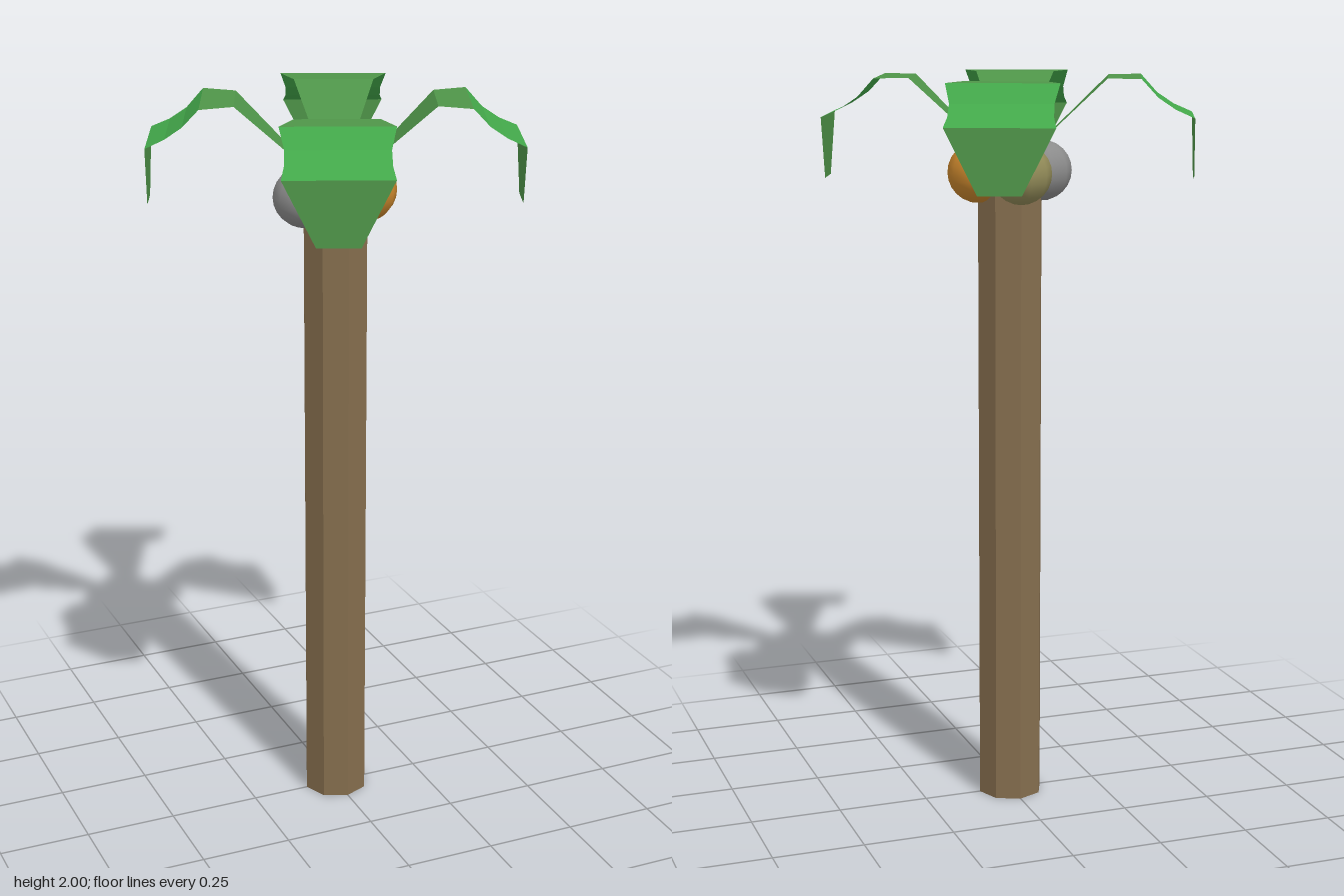
import * as THREE from 'three';

const mat = (name, color, options = {}) => {
  const m = new THREE.MeshStandardMaterial({ color, ...options });
  m.name = name;
  return m;
};

// Sheet lofted along +x through rows of [distance, half width, height]
function strip(rows) {
  const pos = [], index = [];
  rows.forEach(([r, hw, y], i) => {
    pos.push(r, y, -hw, r, y, hw);
    if (i) {
      const a = 2 * (i - 1);
      index.push(a, a + 1, a + 2, a + 1, a + 3, a + 2);
    }
  });
  const g = new THREE.BufferGeometry();
  g.setAttribute('position', new THREE.Float32BufferAttribute(pos, 3));
  g.setIndex(index);
  g.computeVertexNormals();
  return g;
}

export function createModel() {
  const model = new THREE.Group();
  model.name = 'palmTree';

  const sheet = { side: THREE.DoubleSide, flatShading: true };
  const bark = mat('bark', 0x846d4d, { flatShading: true });
  const leaf = mat('leafGreen', 0x4f9549, sheet);
  const bright = mat('brightGreen', 0x43a84a, sheet);
  const gray = mat('gray', 0x8c8c8c);
  const orange = mat('orange', 0xc8852c);
  const khaki = mat('khaki', 0x938c59);

  const add = (parent, name, geometry, material) => {
    const mesh = new THREE.Mesh(geometry, material);
    mesh.name = name;
    parent.add(mesh);
    return mesh;
  };

  // Octagonal trunk with a gray underside
  const top = 1.83, radius = 0.09;
  const trunk = add(model, 'trunk',
    new THREE.CylinderGeometry(radius, radius, top, 8), [bark, bark, gray]);
  trunk.position.y = top / 2;

  // Coconuts on the four sides, from +x towards +z
  const nut = new THREE.SphereGeometry(0.081, 10, 12).rotateY(Math.PI / 2);
  [orange, gray, gray, khaki].forEach((m, i) => {
    const a = i * Math.PI / 2;
    add(model, 'coconut', nut, m)
      .position.set(radius * Math.cos(a), 1.75, radius * Math.sin(a));
  });

  // Fronds: rising base, curved shoulder and hanging tip
  const base = strip([[0.083, 0.034, top], [0.259, 0.107, 2], [0.346, 0.1435, 2]]);
  const shoulder = strip([
    [0.346, 0.1435, 2], [0.39, 0.13, 1.952], [0.435, 0.131, 1.922], [0.485, 0.138, 1.9],
  ]);
  const tip = strip([[0.485, 0.138, 1.9], [0.488, 0.055, 1.735]]);
  for (let i = 0; i < 4; i++) {
    const frond = new THREE.Group();
    frond.name = 'frond';
    add(frond, 'frondBase', base, leaf);
    add(frond, 'frondShoulder', shoulder, bright);
    add(frond, 'frondTip', tip, leaf);
    frond.rotation.y = -Math.PI / 8 - i * Math.PI / 2;
    model.add(frond);
  }
  return model;
}
